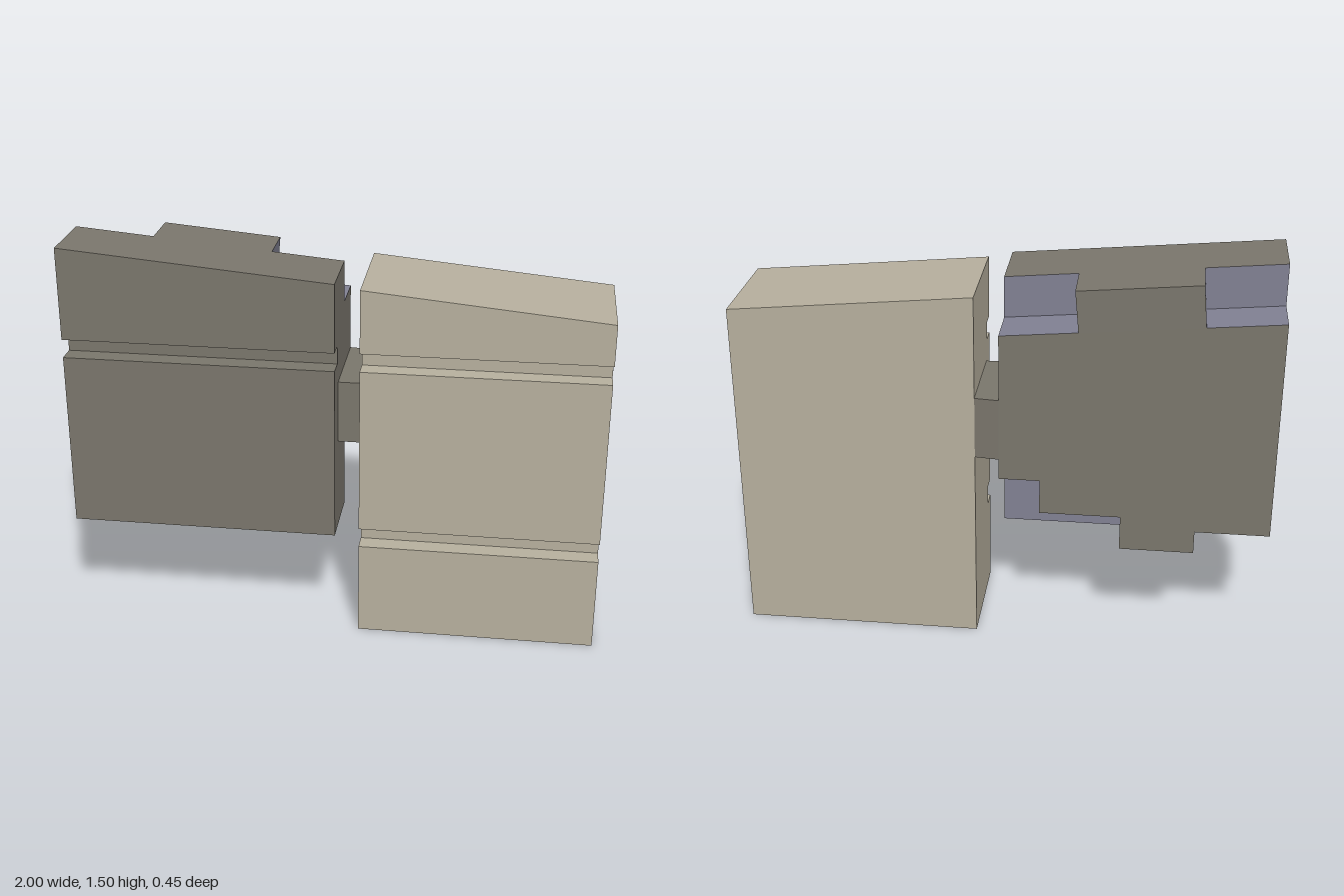
import * as THREE from 'three';

const dark = new THREE.MeshStandardMaterial({ color: 0x7b776d });
const light = new THREE.MeshStandardMaterial({ color: 0xb8b19f });
const slate = new THREE.MeshStandardMaterial({ color: 0x828294 });

const BACK = -0.225, STEP = -0.045, BOTTOM = 0.41, LEFT = -1, RIGHT = 0.01;
const roof = (x) => 1.5 - 0.089 * (x + 1);
const near = (a, b) => Math.abs(a - b) < 0.002;
const toShape = (pts) => new THREE.Shape(pts.map(([x, y]) => new THREE.Vector2(x, y)));

// Keep only the triangles whose centre passes the test, with flat normals
function pick(geometry, test) {
  const src = geometry.index ? geometry.toNonIndexed() : geometry;
  const p = src.attributes.position, out = [];
  for (let i = 0; i < p.count; i += 3) {
    const tri = [0, 1, 2].map((k) => new THREE.Vector3().fromBufferAttribute(p, i + k));
    const c = tri[0].clone().add(tri[1]).add(tri[2]).divideScalar(3);
    if (test(c)) tri.forEach((v) => out.push(v.x, v.y, v.z));
  }
  const g = new THREE.BufferGeometry();
  g.setAttribute('position', new THREE.Float32BufferAttribute(out, 3));
  g.computeVertexNormals();
  return g;
}

// Slab with a slanted top and horizontal grooves cut into its front
function groovedSlab({ x0, x1, y0, topL, topR, zBack, zFront, zGroove, grooves }) {
  const pts = [[-zBack, y0], [-zBack, topL], [-zFront, topL]];
  for (const [lo, hi] of grooves) {
    pts.push([-zFront, hi], [-zGroove, hi], [-zGroove, lo], [-zFront, lo]);
  }
  pts.push([-zFront, y0]);
  const g = new THREE.ExtrudeGeometry(toShape(pts), { depth: x1 - x0, bevelEnabled: false });
  g.rotateY(Math.PI / 2).translate(x0, 0, 0);
  const p = g.attributes.position;
  for (let i = 0; i < p.count; i++) {
    if (near(p.getY(i), topL)) p.setY(i, topL + (topR - topL) * (p.getX(i) - x0) / (x1 - x0));
  }
  return g;
}

export function createModel() {
  const model = new THREE.Group();
  const add = (parent, name, geometry, material) => {
    const m = new THREE.Mesh(geometry, material);
    m.name = name;
    parent.add(m);
    return m;
  };

  // Tall light block with two grooves
  const tall = groovedSlab({
    x0: 0.1, x1: 1, y0: 0, topL: 1.39, topR: 1.305,
    zBack: -0.215, zFront: 0.218, zGroove: 0.147, grooves: [[1.08, 1.15], [0.365, 0.44]],
  });
  add(model, 'tallBlock', pick(tall, () => true), light);

  const notched = new THREE.Group();
  notched.name = 'notchedBlock';
  model.add(notched);

  // Front half of the dark block, open where the back half joins
  const front = groovedSlab({
    x0: LEFT, x1: RIGHT, y0: BOTTOM, topL: roof(LEFT), topR: roof(RIGHT),
    zBack: STEP, zFront: 0.225, zGroove: 0.15, grooves: [[1.08, 1.15]],
  });
  add(notched, 'frontHalf', pick(front, (c) => !near(c.z, STEP)), dark);

  // Corner cut-outs of the back half; each runs from one outer edge to the other
  const d = 0.157;
  const cuts = [
    [[LEFT, roof(LEFT) - d], [-0.72, roof(-0.72) - d], [-0.706, roof(-0.706)]],
    [[-0.26, roof(-0.26)], [-0.274, roof(-0.274) - d], [RIGHT, roof(RIGHT) - d]],
    [[RIGHT, 0.68], [-0.142, 0.68], [-0.142, 0.545], [-0.445, 0.545], [-0.445, BOTTOM]],
    [[-0.723, BOTTOM], [-0.723, 0.5], [LEFT, 0.5]],
  ];
  const corners = [[LEFT, roof(LEFT)], [RIGHT, roof(RIGHT)], [RIGHT, BOTTOM], [LEFT, BOTTOM]];

  // Back half: outer faces dark, cut faces slate
  const back = new THREE.ExtrudeGeometry(toShape(cuts.flat()), { depth: STEP - BACK, bevelEnabled: false });
  back.translate(0, 0, BACK);
  const isOuter = (c) => near(c.z, BACK) || near(c.x, LEFT) || near(c.x, RIGHT)
    || near(c.y, BOTTOM) || near(c.y, roof(c.x));
  add(notched, 'backHalf', pick(back, (c) => !near(c.z, STEP) && isOuter(c)), dark);
  add(notched, 'notchSides', pick(back, (c) => !near(c.z, STEP) && !isOuter(c)), slate);

  // Rear-facing wall inside each cut-out
  cuts.forEach((cut, i) => {
    const g = new THREE.ShapeGeometry(toShape([...cut, corners[i]].map(([x, y]) => [-x, y])));
    g.rotateY(Math.PI).translate(0, 0, STEP);
    add(notched, 'notchWall', g, slate);
  });

  // Short bridge between the blocks, its rear tapering slightly
  const bridge = new THREE.ExtrudeGeometry(
    toShape([[RIGHT, -0.13], [0.1, -0.13], [0.1, 0.215], [RIGHT, 0.225]]),
    { depth: 0.24, bevelEnabled: false });
  bridge.rotateX(-Math.PI / 2).translate(0, 0.76, 0);
  add(model, 'bridge', bridge, dark);

  return model;
}
